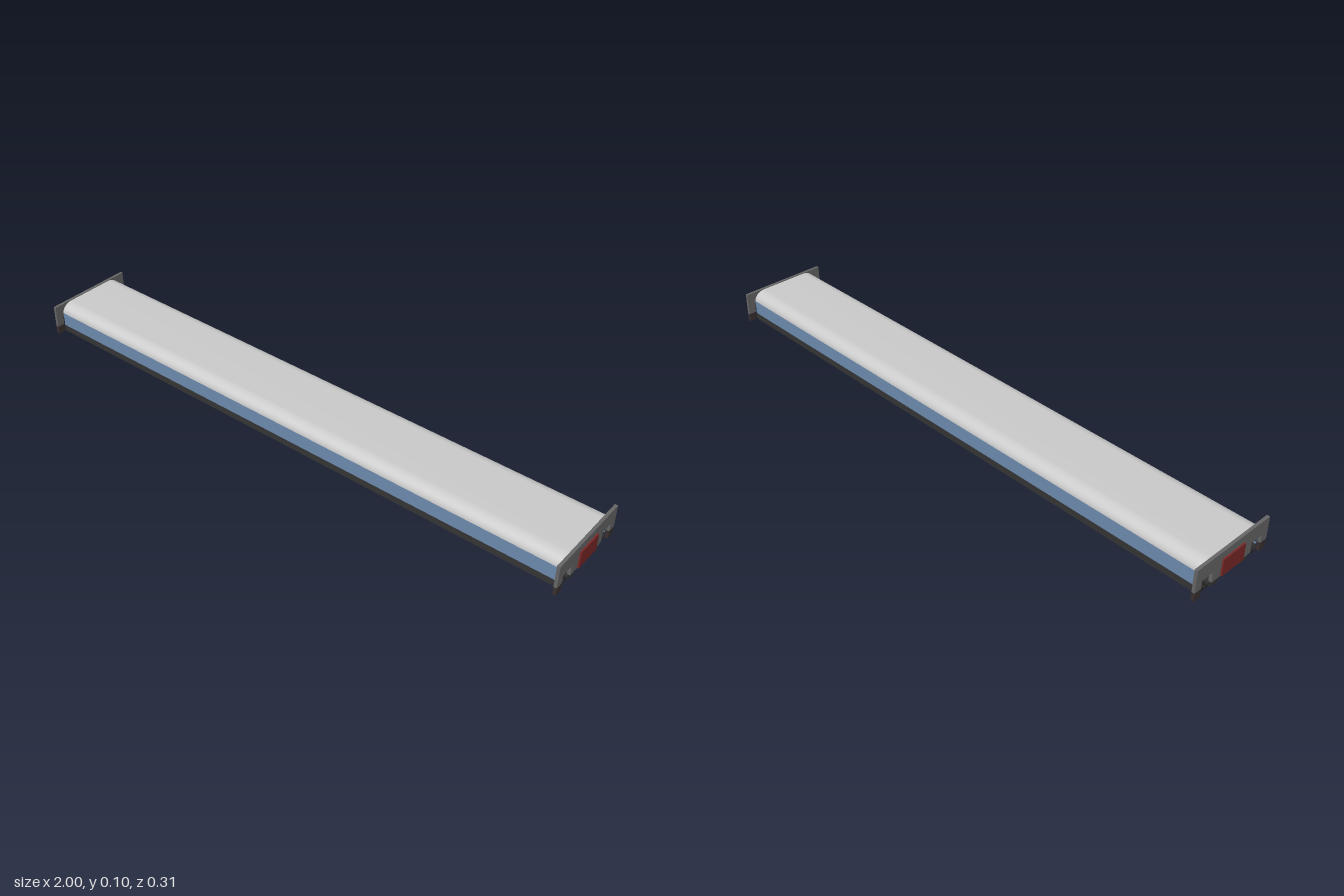
import * as THREE from 'three';

const mat = (name, color, side = THREE.FrontSide) => {
  const m = new THREE.MeshStandardMaterial({ color, side });
  m.name = name;
  return m;
};

export function createModel() {
  const roofGrey = mat('roofGrey', 0xcacaca, THREE.DoubleSide);
  const glassBlue = mat('glassBlue', 0x6c89ad);
  const plateGrey = mat('plateGrey', 0x666666);
  const panelRed = mat('panelRed', 0x7a2828);
  const darkGrey = mat('darkGrey', 0x343434);
  const baseBrown = mat('baseBrown', 0x3a3030);
  const trackBlack = mat('trackBlack', 0x1e1e1e);

  const group = new THREE.Group();
  const HALF = 0.985; // half length of the hall between the end plates

  const add = (name, geo, material) => {
    const mesh = new THREE.Mesh(geo, material);
    mesh.name = name;
    group.add(mesh);
    return mesh;
  };
  // Box given by its limits on each axis
  const box = (name, material, x0, x1, y0, y1, z0, z1) =>
    add(name, new THREE.BoxGeometry(Math.abs(x1 - x0), y1 - y0, Math.abs(z1 - z0)), material)
      .position.set((x0 + x1) / 2, (y0 + y1) / 2, (z0 + z1) / 2);

  // Roof: flat top with rounded shoulders, swept along x
  const steps = 12, profile = [];
  for (const s of [1, -1]) {
    for (let i = 0; i <= steps; i++) {
      const a = (s > 0 ? i : steps - i) / steps * Math.PI / 2;
      profile.push([s * (0.085 + 0.042 * Math.cos(a)), 0.07 + 0.033 * Math.sin(a)]);
    }
  }
  const pos = [], index = [];
  profile.forEach(([z, y], i) => {
    pos.push(-HALF, y, z, HALF, y, z);
    if (i) {
      const b = 2 * i;
      index.push(b - 2, b - 1, b, b - 1, b + 1, b);
    }
  });
  const roof = new THREE.BufferGeometry();
  roof.setAttribute('position', new THREE.Float32BufferAttribute(pos, 3));
  roof.setIndex(index);
  roof.computeVertexNormals();
  add('roof', roof, roofGrey);

  // Long walls, tracks and platform edges, mirrored front to back
  for (const s of [1, -1]) {
    box('windowBand', glassBlue, -HALF, HALF, 0.022, 0.07, s * 0.1245, s * 0.127);
    box('wallBase', darkGrey, -HALF, HALF, 0, 0.022, s * 0.1245, s * 0.128);
    box('cableRail', darkGrey, -HALF, HALF, 0.032, 0.042, s * 0.1225, s * 0.1245);
    box('trackBed', trackBlack, -HALF, HALF, 0, 0.003, s * 0.05, s * 0.1245);
    for (const z of [0.096, 0.116])
      box('rail', darkGrey, -HALF, HALF, 0.003, 0.005, s * (z - 0.001), s * (z + 0.001));
    box('platformFoot', darkGrey, -0.99, 0.99, 0, 0.012, s * 0.048, s * 0.08);
    box('platformEdge', darkGrey, -0.99, 0.99, 0.012, 0.021, s * 0.048, s * 0.09);
  }
  box('platformFloor', darkGrey, -HALF, HALF, 0.021, 0.024, -0.09, 0.09);

  // End plate outline, with two track openings and a central recess
  const half = [[0.157, 0.105], [0.157, 0.028], [0.13, 0.028], [0.13, 0.055],
    [0.085, 0.055], [0.085, 0.02], [0.048, 0.02], [0.048, 0.08]];
  const outline = [...half, ...half.map(([z, y]) => [-z, y]).reverse()];
  const plateShape = new THREE.Shape(outline.map(([z, y]) => new THREE.Vector2(z, y)));
  for (const s of [1, -1]) {
    const geo = new THREE.ExtrudeGeometry(plateShape, { depth: 0.01, bevelEnabled: false });
    geo.rotateY(Math.PI / 2);
    geo.translate(s > 0 ? 0.985 : -0.995, 0, 0);
    add('endPlate', geo, plateGrey);
    box('endPanel', panelRed, s * 0.985, s, 0.022, 0.08, -0.048, 0.048);
    for (const t of [1, -1])
      box('plateFoot', baseBrown, s * 0.985, s * 0.995, 0, 0.028, t * 0.13, t * 0.157);
  }
  return group;
}
